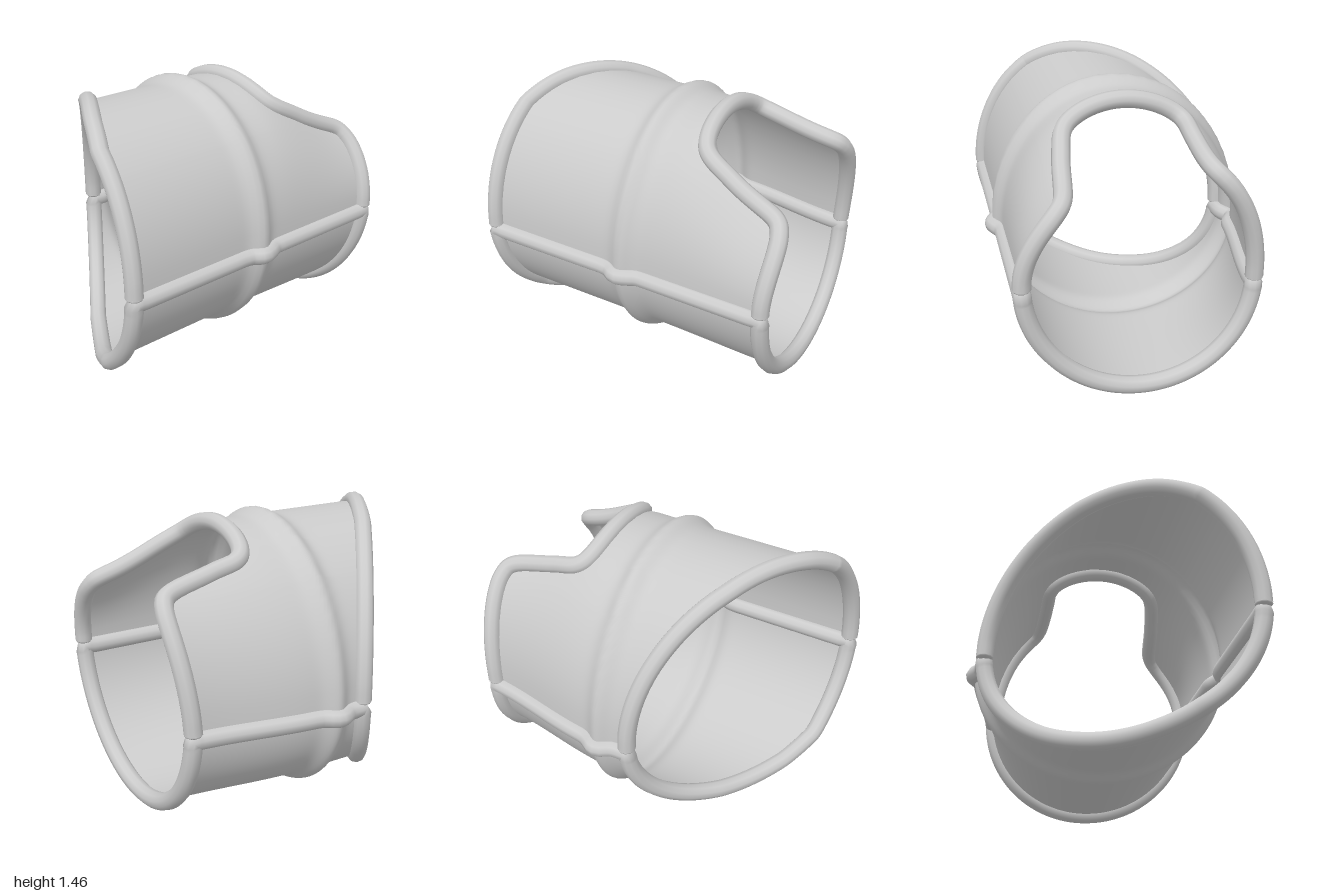
import * as THREE from 'three';

const { lerp, smoothstep } = THREE.MathUtils;
const BEAD = 0.046;

// The cuff runs along a turned axis: u is the distance along it, a the angle around it
// (0 = model's left seam, PI / 2 = top, PI = right seam).
function surfacePoint(a, u) {
  const back = smoothstep(-u, 0, 0.8);
  const bump = 0.042 * Math.exp(-((u / 0.055) ** 2)); // raised middle rib
  const c = Math.cos(a), s = Math.sin(a);
  const rx = lerp(0.645, 0.59, back) + bump;
  const taper = smoothstep(-u, 0.2, 0.8);
  const ry = (s > 0 ? lerp(0.77, 0.64, taper) : 0.6) + bump;
  const v = lerp(-0.135, -0.08, back) + rx * c;
  const y = 0.65 + ry * s + c * (0.05 - 0.13 * taper * Math.max(s, 0));
  return new THREE.Vector3(-0.39 * u + 0.92 * v, y, 0.92 * u + 0.39 * v);
}

// Slanted front rim as a function of the angle
const frontCurve = [[-1, 0.16], [-0.3, 0.47], [0.25, 0.68], [0.55, 0.775], [1, 0.82]];
function frontU(a) {
  const c = THREE.MathUtils.clamp(Math.cos(a), -1, 1);
  let i = 0;
  while (i < frontCurve.length - 2 && c > frontCurve[i + 1][0]) i++;
  const [c0, u0] = frontCurve[i], [c1, u1] = frontCurve[i + 1];
  return lerp(u0, u1, (c - c0) / (c1 - c0));
}

// Rounded list of [angle, u] for a back rim
function backRim(knots, steps) {
  const pts = knots.map(([a, u]) => new THREE.Vector3(a, u, 0));
  return new THREE.CatmullRomCurve3(pts).getPoints(steps).map((p) => [p.x, p.y]);
}

// Curved plate between the back rim and the front rim
function plate(name, rim, material) {
  const rows = 60, pos = [], index = [];
  rim.forEach(([a, u]) => {
    for (let j = 0; j <= rows; j++) {
      pos.push(...surfacePoint(a, lerp(u, frontU(a), j / rows)).toArray());
    }
  });
  for (let i = 0; i < rim.length - 1; i++) {
    for (let j = 0; j < rows; j++) {
      const p = i * (rows + 1) + j, q = p + rows + 1;
      index.push(p, q, p + 1, q, q + 1, p + 1);
    }
  }
  const g = new THREE.BufferGeometry();
  g.setAttribute('position', new THREE.Float32BufferAttribute(pos, 3));
  g.setIndex(index);
  g.computeVertexNormals();
  const mesh = new THREE.Mesh(g, material);
  mesh.name = name;
  return mesh;
}

// Round bead following a list of [angle, u]; open beads get rounded ends
function bead(name, path, closed, material) {
  const group = new THREE.Group();
  group.name = name;
  const pts = path.map(([a, u]) => surfacePoint(a, u));
  const curve = new THREE.CatmullRomCurve3(pts, closed);
  group.add(new THREE.Mesh(new THREE.TubeGeometry(curve, pts.length * 2, BEAD, 10, closed), material));
  if (!closed) {
    for (const p of [pts[0], pts[pts.length - 1]]) {
      const end = new THREE.Mesh(new THREE.SphereGeometry(BEAD, 10, 8), material);
      end.scale.y = 0.4;
      end.position.copy(p);
      group.add(end);
    }
  }
  return group;
}

export function createModel() {
  const model = new THREE.Group();
  model.name = 'armCuff';
  const shellMat = new THREE.MeshStandardMaterial({ color: 0xcccccc, side: THREE.DoubleSide });
  const beadMat = new THREE.MeshStandardMaterial({ color: 0xcccccc });

  // Upper shell, with a notch cut into the back
  const upperRim = backRim([
    [0, -0.79], [0.76, -0.79], [0.87, -0.74], [0.94, -0.5], [1.0, -0.35], [1.1, -0.3],
    [1.95, -0.29], [2.05, -0.34], [2.1, -0.48], [2.2, -0.72], [2.3, -0.765], [Math.PI, -0.735],
  ], 88);
  const upperFront = upperRim.map(([a]) => [a, frontU(a)]);
  model.add(plate('upperShell', upperRim, shellMat));
  model.add(bead('upperFrontBead', upperFront, false, beadMat));
  model.add(bead('upperBackBead', upperRim, false, beadMat));

  // Lower shell, with one bead around its whole outline
  const a0 = Math.PI + 0.065, a1 = 2 * Math.PI - 0.065;
  const lowerRim = backRim([[a0, -0.735], [(a0 + a1) / 2, -0.765], [a1, -0.79]], 48);
  const lowerFront = lowerRim.map(([a]) => [a, frontU(a)]);
  const seam = (a, from, to) =>
    Array.from({ length: 29 }, (_, i) => [a, lerp(from, to, (i + 1) / 30)]);
  const outline = [
    ...lowerRim,
    ...seam(a1, -0.79, frontU(a1)),
    ...lowerFront.reverse(),
    ...seam(a0, frontU(a0), -0.735),
  ];
  model.add(plate('lowerShell', lowerRim, shellMat));
  model.add(bead('lowerBead', outline, true, beadMat));

  return model;
}
